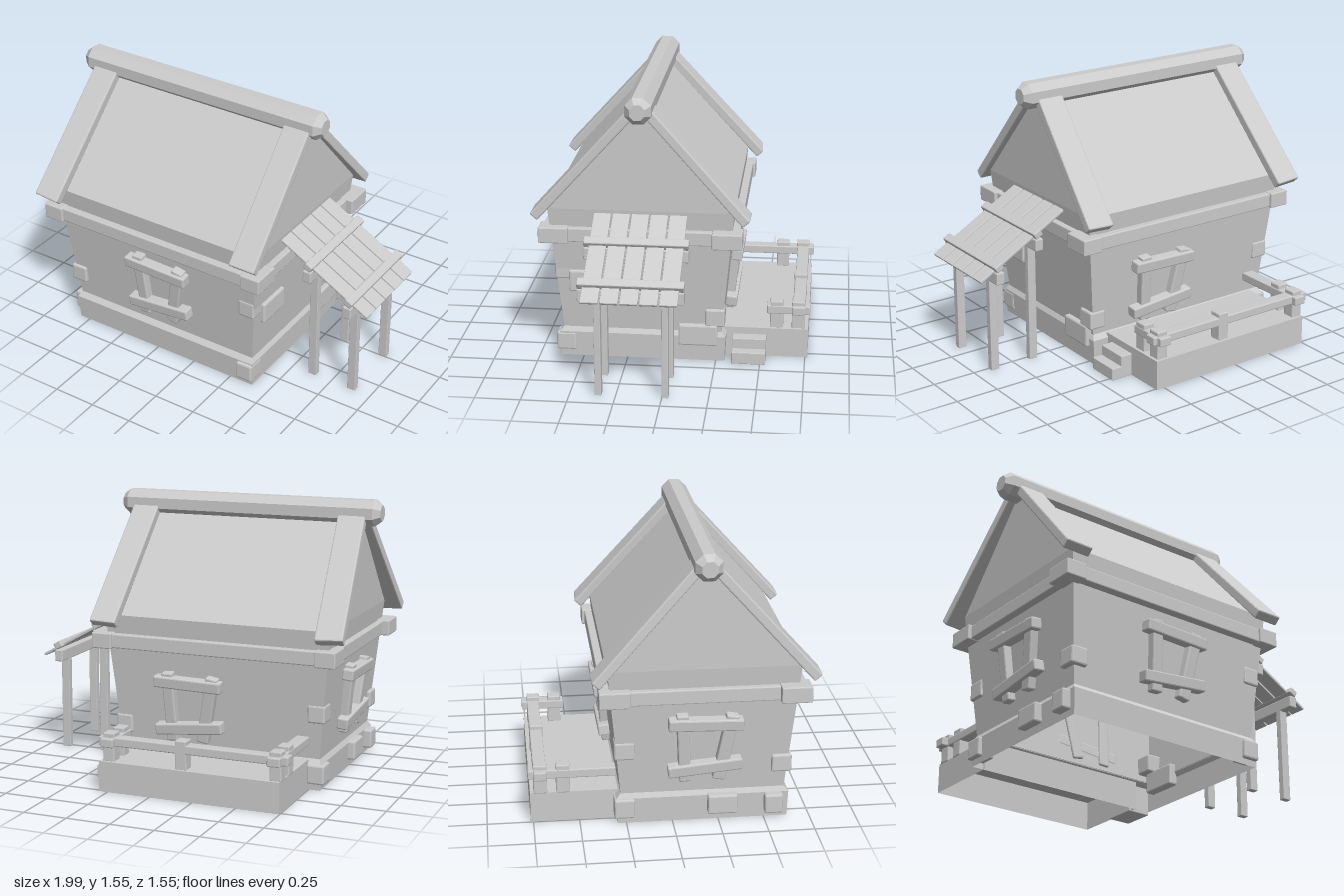
import * as THREE from 'three';
import { RoundedBoxGeometry } from 'three/addons/geometries/RoundedBoxGeometry.js';

const grey = new THREE.MeshStandardMaterial({ color: 0xcccccc, flatShading: true });
const shell = new THREE.MeshStandardMaterial({ color: 0xcccccc, flatShading: true, side: THREE.DoubleSide });
const CX = -0.21, CZ = 0.165; // centre of the house

function add(parent, name, geometry, material = grey) {
  const mesh = new THREE.Mesh(geometry, material);
  mesh.name = name;
  parent.add(mesh);
  return mesh;
}

// Chamfered block given by its min and max on each axis
function block(parent, name, [x0, x1], [y0, y1], [z0, z1], r = 0.006) {
  const m = add(parent, name, new RoundedBoxGeometry(x1 - x0, y1 - y0, z1 - z0, 1, r));
  m.position.set((x0 + x1) / 2, (y0 + y1) / 2, (z0 + z1) / 2);
  return m;
}

// Chamfered plank running from a to b, its width lying along "side"
function plank(parent, name, a, b, width, thick, side) {
  const A = new THREE.Vector3(...a), B = new THREE.Vector3(...b);
  const y = B.clone().sub(A), length = y.length();
  y.normalize();
  const z = new THREE.Vector3(...side).cross(y).normalize();
  const x = y.clone().cross(z);
  const m = add(parent, name, new RoundedBoxGeometry(width, length, thick, 1, Math.min(0.008, thick / 4)));
  m.quaternion.setFromRotationMatrix(new THREE.Matrix4().makeBasis(x, y, z));
  m.position.copy(A.add(B).multiplyScalar(0.5));
  return m;
}

// Open rectangular shell through sections [y, halfX, halfZ]
function rectLoft(sections) {
  const pos = [], index = [];
  for (const [y, hx, hz] of sections)
    for (const [sx, sz] of [[1, 1], [1, -1], [-1, -1], [-1, 1]]) pos.push(CX + sx * hx, y, CZ + sz * hz);
  for (let s = 0; s < sections.length - 1; s++)
    for (let i = 0; i < 4; i++) {
      const a = s * 4 + i, b = s * 4 + (i + 1) % 4;
      index.push(a, b, b + 4, a, b + 4, a + 4);
    }
  const g = new THREE.BufferGeometry();
  g.setAttribute('position', new THREE.Float32BufferAttribute(pos, 3));
  g.setIndex(index);
  const flat = g.toNonIndexed();
  flat.computeVertexNormals();
  return flat;
}

// Crooked window frame of four boards, leaning with the wall
function windowFrame(parent, name, x, y, z, turn) {
  const w = new THREE.Group();
  w.name = name;
  const side = [1, 0, 0], up = [0, 1, 0];
  plank(w, 'windowPost', [-0.105, -0.2, 0.015], [-0.125, 0.2, 0.015], 0.065, 0.06, side);
  plank(w, 'windowPost', [0.075, -0.195, 0.015], [0.145, 0.19, 0.015], 0.07, 0.06, side);
  plank(w, 'windowLintel', [-0.2, 0.15, 0.03], [0.2, 0.14, 0.03], 0.065, 0.065, up);
  plank(w, 'windowSill', [-0.2, -0.135, 0.03], [0.2, -0.095, 0.03], 0.065, 0.065, up);
  w.position.set(x, y, z);
  w.rotation.set(0.1, turn, 0, 'YXZ');
  parent.add(w);
}

export function createModel() {
  const house = new THREE.Group();
  house.name = 'house';

  // Plinth and outward leaning walls, open underneath
  add(house, 'plinth', rectLoft([[0, 0.604, 0.463], [0.145, 0.61, 0.47], [0.175, 0.594, 0.444]]), shell);
  add(house, 'walls', rectLoft([[0.17, 0.595, 0.445], [0.9, 0.665, 0.515]]), shell);

  // Roof prism
  const gable = new THREE.Shape([[-0.515, 0.9], [0.515, 0.9], [0, 1.48]].map(p => new THREE.Vector2(...p)));
  const roof = add(house, 'roof', new THREE.ExtrudeGeometry(gable, { depth: 1.33, bevelEnabled: false }));
  roof.rotation.y = Math.PI / 2;
  roof.position.set(CX - 0.665, 0, CZ);

  // Ridge beam: octagonal section with chamfered ends
  const ring = [[-0.018, -0.042], [0.018, -0.042], [0.042, -0.018], [0.042, 0.018],
    [0.018, 0.042], [-0.018, 0.042], [-0.042, 0.018], [-0.042, -0.018]];
  const ridge = add(house, 'ridgeBeam', new THREE.ExtrudeGeometry(
    new THREE.Shape(ring.map(p => new THREE.Vector2(...p))),
    { depth: 1.48, bevelThickness: 0.04, bevelSize: 0.03, bevelSegments: 1 }));
  ridge.rotation.y = Math.PI / 2;
  ridge.position.set(-0.96, 1.482, CZ);

  // Bargeboards: x at the eave, x at the ridge, front or back slope
  for (const [xLow, xHigh, s] of [[-0.893, -0.838, 1], [-0.893, -0.838, -1], [0.415, 0.42, 1], [0.435, 0.4, -1]])
    plank(house, 'bargeboard', [xLow, 0.857, CZ + s * 0.587], [xHigh, 1.485, CZ + s * 0.02], 0.157, 0.055, [1, 0, 0]);

  // Belt beams with corner blocks
  for (const s of [1, -1]) {
    const z = CZ + s * 0.512, x = CX + s * 0.655;
    block(house, 'beltBeam', [-0.87, 0.44], [0.715, 0.795], [z - 0.035, z + 0.035]);
    block(house, 'beltBeam', [x - 0.035, x + 0.035], [0.715, 0.795], [-0.34, 0.67]);
    for (const t of [1, -1]) {
      const cx = CX + 0.01 * -s + t * 0.66, cz = CZ + s * 0.48;
      block(house, 'beltCorner', [cx - 0.06, cx + 0.06], [0.71, 0.8], [cz - 0.083, cz + 0.083]);
    }
  }

  // Windows
  windowFrame(house, 'frontWindow', -0.2, 0.45, 0.638, 0);
  windowFrame(house, 'leftSideWindow', -0.832, 0.45, 0.17, -Math.PI / 2);
  windowFrame(house, 'backWindow', -0.05, 0.4, -0.303, Math.PI);

  // Corner stones and wall bricks: centre then size
  for (const [x, y, z, w, h, d] of [
    [0.37, 0.523, 0.597, 0.1, 0.1, 0.11], [0.352, 0.086, 0.597, 0.1, 0.105, 0.11],
    [-0.793, 0.323, 0.59, 0.1, 0.1, 0.11], [0.365, 0.263, -0.245, 0.1, 0.105, 0.11],
    [-0.79, 0.43, -0.26, 0.1, 0.1, 0.11], [-0.79, 0.09, -0.26, 0.1, 0.11, 0.11],
    [0.4, 0.468, 0.465, 0.08, 0.125, 0.21], [0.385, 0.158, -0.15, 0.07, 0.125, 0.22],
    [-0.82, 0.1, 0.27, 0.08, 0.11, 0.16], [-0.82, 0.09, 0.55, 0.09, 0.11, 0.1],
  ]) block(house, 'stone', [x - w / 2, x + w / 2], [y - h / 2, y + h / 2], [z - d / 2, z + d / 2], 0.01);

  // Back porch: hollow deck, open underneath
  const deck = add(house, 'porchDeck', new THREE.BoxGeometry(1.045, 0.17, 0.475).toNonIndexed(), shell);
  deck.geometry.setAttribute('position', new THREE.Float32BufferAttribute(
    // drop the bottom face (fourth of six, 18 numbers each)
    [...deck.geometry.attributes.position.array].filter((_, i) => i < 54 || i >= 72), 3));
  deck.geometry.deleteAttribute('normal');
  deck.geometry.deleteAttribute('uv');
  deck.geometry.computeVertexNormals();
  deck.position.set(-0.222, 0.085, -0.527);

  // Porch railing
  block(house, 'railBack', [-0.785, 0.31], [0.255, 0.305], [-0.745, -0.675]);
  block(house, 'railLong', [-0.75, -0.677], [0.252, 0.302], [-0.775, -0.3]);
  block(house, 'railShort', [0.212, 0.285], [0.252, 0.302], [-0.775, -0.53]);
  for (const [x, z] of [[-0.715, -0.708], [-0.175, -0.708], [0.25, -0.708], [0.25, -0.585], [-0.715, -0.585]])
    block(house, 'railPost', [x - 0.033, x + 0.033], [0.165, 0.328], [z - 0.037, z + 0.037]);

  // Side steps up to the porch
  block(house, 'lowerStep', [0.29, 0.43], [0, 0.07], [-0.53, -0.34], 0.004);
  block(house, 'upperStep', [0.29, 0.37], [0, 0.13], [-0.53, -0.34], 0.004);

  // Awning: five sloping planks, battens on top, beams and posts below
  const awning = new THREE.Group();
  awning.name = 'awning';
  house.add(awning);
  for (let i = 0; i < 5; i++) {
    const z = 0.373 - i * 0.1045;
    plank(awning, 'awningPlank', [0.42, 0.89, z], [0.99, 0.568, z], 0.096, 0.016, [0, 0, 1]);
  }
  for (const [x, top] of [[0.628, 0.75], [0.88, 0.61]]) {
    const batten = block(awning, 'awningBatten', [x - 0.02, x + 0.03], [top + 0.008, top + 0.048], [-0.12, 0.45]);
    batten.rotation.z = -0.51;
    block(awning, 'awningBeam', [x - 0.025, x + 0.025], [top - 0.07, top], [-0.12, 0.45]);
    for (const z of [0.345, -0.017])
      block(awning, 'awningPost', [x - 0.025, x + 0.025], [0, top - 0.02], [z - 0.018, z + 0.018], 0.003);
  }
  return house;
}
